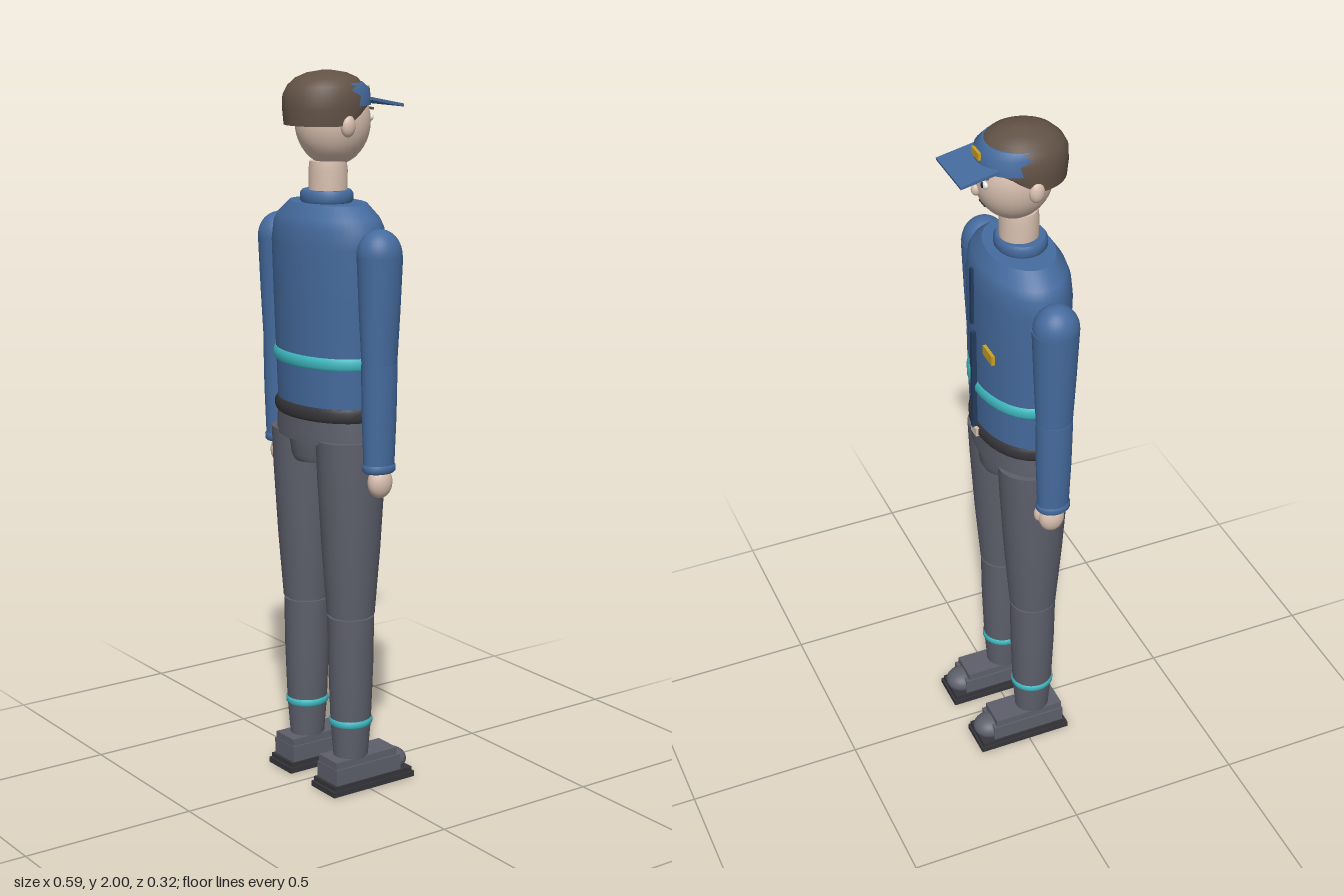
import * as THREE from 'three';

const mat = (name, color) => {
  const m = new THREE.MeshStandardMaterial({ color });
  m.name = name;
  return m;
};

// Closed skin through elliptical rings [y, rx, rz, cx, cz], listed bottom to top.
function loft(rings, seg = 32) {
  const pos = [], idx = [];
  const addRing = ([y, rx, rz, cx = 0, cz = 0.03]) => {
    const start = pos.length / 3;
    for (let i = 0; i < seg; i++) {
      const a = (i / seg) * Math.PI * 2;
      pos.push(cx + rx * Math.cos(a), y, cz + rz * Math.sin(a));
    }
    return start;
  };
  const starts = rings.map(addRing);
  for (let r = 0; r < rings.length - 1; r++) {
    for (let i = 0; i < seg; i++) {
      const j = (i + 1) % seg;
      const a = starts[r] + i, b = starts[r] + j, c = starts[r + 1] + i, d = starts[r + 1] + j;
      idx.push(a, c, b, b, c, d);
    }
  }
  // flat caps with their own vertices
  [rings[0], rings[rings.length - 1]].forEach((ring, top) => {
    const s = addRing(ring), centre = pos.length / 3;
    pos.push(ring[3] ?? 0, ring[0], ring[4] ?? 0.03);
    for (let i = 0; i < seg; i++) {
      const j = (i + 1) % seg;
      idx.push(centre, s + (top ? j : i), s + (top ? i : j));
    }
  });
  const g = new THREE.BufferGeometry();
  g.setAttribute('position', new THREE.Float32BufferAttribute(pos, 3));
  g.setIndex(idx);
  g.computeVertexNormals();
  return g;
}

// Rounded band around an elliptical section
const band = (y, h, rx, rz, cx = 0, cz = 0.03) => loft([
  [y - h / 2, rx - 0.006, rz - 0.006, cx, cz], [y - h / 4, rx, rz, cx, cz],
  [y + h / 4, rx, rz, cx, cz], [y + h / 2, rx - 0.006, rz - 0.006, cx, cz],
]);

export function createModel() {
  const model = new THREE.Group();
  model.name = 'uniformedFigure';
  const blue = mat('uniform blue', 0x456b9e);
  const navy = mat('zip navy', 0x233a5c);
  const grey = mat('trouser grey', 0x5d5f6b);
  const dark = mat('sole and belt charcoal', 0x36363b);
  const teal = mat('reflective teal', 0x3fbac2);
  const skin = mat('skin', 0xd8c0b0);
  const brown = mat('hair brown', 0x625246);
  const gold = mat('badge gold', 0xc9a227);
  const white = mat('eye white', 0xeeeeea);
  const black = mat('pupil black', 0x222226);

  const add = (name, geo, material, x = 0, y = 0, z = 0, parent = model) => {
    const m = new THREE.Mesh(geo, material);
    m.name = name;
    m.position.set(x, y, z);
    parent.add(m);
    return m;
  };
  const box = (name, w, h, d, material, x, y, z) =>
    add(name, new THREE.BoxGeometry(w, h, d), material, x, y, z);
  const ball = (name, rx, ry, rz, material, x, y, z) =>
    add(name, new THREE.SphereGeometry(1, 28, 20).scale(rx, ry, rz), material, x, y, z);

  // Jacket
  add('torso', loft([
    [1.09, 0.176, 0.117], [1.22, 0.182, 0.121], [1.4, 0.193, 0.125], [1.54, 0.202, 0.126],
    [1.59, 0.198, 0.12], [1.615, 0.182, 0.111], [1.65, 0.135, 0.088],
  ], 48), blue);
  add('collar', band(1.665, 0.035, 0.077, 0.07, 0, 0.035), blue);
  add('waistStripe', band(1.23, 0.034, 0.19, 0.13), teal);
  add('belt', band(1.088, 0.038, 0.184, 0.127), dark);
  box('beltBuckle', 0.036, 0.026, 0.012, skin, 0, 1.088, -0.098);
  box('zipUpper', 0.012, 0.17, 0.008, navy, 0, 1.525, -0.104);
  box('zipLower', 0.012, 0.31, 0.014, navy, 0, 1.255, -0.101);
  box('chestBadge', 0.06, 0.028, 0.009, gold, -0.115, 1.41, -0.105);

  // Hips
  add('hips', loft([
    [1.005, 0.183, 0.118], [1.03, 0.182, 0.119], [1.075, 0.177, 0.118],
  ]), grey);
  add('crotch', loft([[0.942, 0.076, 0.1], [0.96, 0.08, 0.11], [1.01, 0.088, 0.118]]), grey);

  // Head and neck
  add('neck', loft([[1.66, 0.052, 0.052], [1.735, 0.053, 0.053], [1.76, 0.05, 0.05]]), skin);
  ball('head', 0.098, 0.12, 0.105, skin, 0, 1.865, 0.015);
  ball('nose', 0.012, 0.017, 0.014, skin, 0, 1.842, -0.088);
  const mouth = box('mouth', 0.034, 0.005, 0.006, dark, 0, 1.798, -0.071);
  mouth.rotation.x = -0.5;

  // Hair with a hairline that rises towards the face
  const hair = loft([
    [1.858, 0.104, 0.114, 0, 0.04], [1.9, 0.108, 0.118, 0, 0.04], [1.935, 0.107, 0.117, 0, 0.04],
    [1.96, 0.097, 0.106, 0, 0.038], [1.98, 0.078, 0.086, 0, 0.036], [1.993, 0.05, 0.056, 0, 0.035],
    [2.0, 0.012, 0.014, 0, 0.035],
  ], 40);
  const p = hair.attributes.position;
  for (let i = 0; i < p.count; i++) {
    p.setY(i, Math.max(p.getY(i), 1.858 + Math.max(0, 0.04 - p.getZ(i)) * 0.56));
  }
  hair.computeVertexNormals();
  add('hair', hair, brown);

  // Cap
  add('capBand', loft([
    [1.908, 0.103, 0.108, 0, 0.02], [1.95, 0.1, 0.106, 0, 0.02], [1.968, 0.089, 0.095, 0, 0.03],
  ], 40), blue);
  const visor = box('capVisor', 0.162, 0.008, 0.106, blue, 0, 1.914, -0.111);
  visor.rotation.x = -0.2;
  box('capBadge', 0.044, 0.02, 0.008, gold, 0, 1.945, -0.087);

  for (const s of [-1, 1]) {
    // Face sides
    ball('ear', 0.017, 0.03, 0.021, skin, s * 0.099, 1.858, 0.035);
    ball('eye', 0.015, 0.011, 0.008, white, s * 0.037, 1.873, -0.08);
    ball('pupil', 0.007, 0.008, 0.005, black, s * 0.037, 1.873, -0.086);
    box('eyebrow', 0.034, 0.006, 0.008, brown, s * 0.037, 1.897, -0.079);

    // Arm
    const ax = s * 0.236;
    ball('shoulder', 0.058, 0.068, 0.062, blue, ax, 1.532, 0.031);
    add('upperArm', loft([
      [1.235, 0.042, 0.05, ax], [1.38, 0.051, 0.057, ax], [1.53, 0.058, 0.063, ax],
    ]), blue);
    add('forearm', loft([
      [0.955, 0.036, 0.044, ax], [1.1, 0.042, 0.049, ax], [1.24, 0.044, 0.051, ax],
    ]), blue);
    add('cuff', band(0.958, 0.026, 0.04, 0.048, ax), blue);
    ball('hand', 0.029, 0.044, 0.036, skin, ax, 0.916, 0.026);
    ball('thumb', 0.012, 0.024, 0.013, skin, s * 0.222, 0.925, -0.006);

    // Leg
    const lx = s * 0.108;
    add('thigh', loft([
      [0.515, 0.066, 0.067, lx], [0.7, 0.077, 0.083, lx], [0.9, 0.086, 0.096, lx],
      [1.015, 0.087, 0.102, lx],
    ]), grey);
    add('knee', loft([[0.49, 0.055, 0.057, lx], [0.53, 0.055, 0.057, lx]]), grey);
    add('shin', loft([
      [0.095, 0.046, 0.05, lx], [0.2, 0.055, 0.058, lx], [0.36, 0.061, 0.064, lx],
      [0.508, 0.063, 0.066, lx],
    ]), grey);
    add('ankleStripe', band(0.2, 0.024, 0.059, 0.062, lx), teal);

    // Shoe
    box('sole', 0.112, 0.016, 0.28, dark, lx, 0.01, -0.014);
    box('soleRim', 0.104, 0.026, 0.268, dark, lx, 0.018, -0.014);
    box('shoe', 0.096, 0.046, 0.222, grey, lx, 0.054, 0);
    box('shoeCollar', 0.086, 0.024, 0.21, grey, lx, 0.086, 0.004);
    ball('shoeToe', 0.046, 0.034, 0.05, grey, lx, 0.05, -0.106);
    box('soleBase', 0.1, 0.004, 0.27, dark, lx, 0.002, -0.014);
  }
  return model;
}
